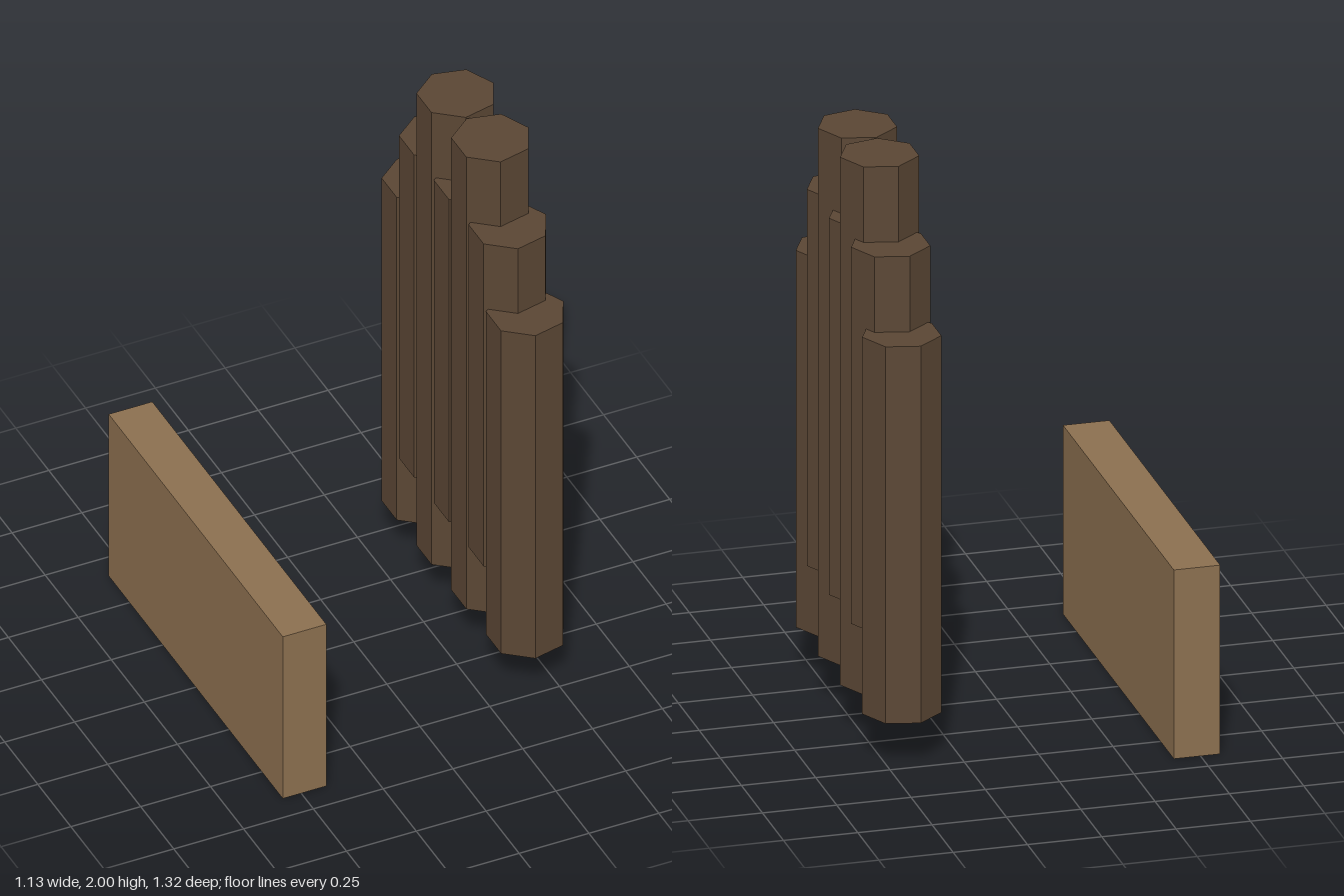
import * as THREE from 'three';

export function createModel() {
  const model = new THREE.Group();
  const lightWood = new THREE.MeshStandardMaterial({ name: 'lightWood', color: 0x8b6f4f });
  const darkWood = new THREE.MeshStandardMaterial({ name: 'darkWood', color: 0x5a4634, flatShading: true });

  // Upright plank on the right side
  const plank = new THREE.Mesh(new THREE.BoxGeometry(0.156, 0.658, 1.316), lightWood);
  plank.name = 'plank';
  plank.position.set(-0.488, 0.329, 0);
  model.add(plank);

  // Stepped row of seven-sided posts, mirrored about the middle post
  const radius = 0.1315, spacing = 0.1315;
  const spans = [[0.425, 1.737], [0.161, 2], [0.425, 1.737], [0.161, 1.474]]; // bottom and top, from the middle outwards
  const posts = new THREE.Group();
  posts.name = 'posts';
  for (let i = -3; i <= 3; i++) {
    const [bottom, top] = spans[Math.abs(i)];
    // One corner points to the left side (+x)
    const post = new THREE.Mesh(
      new THREE.CylinderGeometry(radius, radius, top - bottom, 7, 1, false, Math.PI / 2), darkWood);
    post.name = 'post' + (i + 4);
    post.position.set(0.432, (top + bottom) / 2, i * spacing);
    posts.add(post);
  }
  model.add(posts);
  return model;
}
